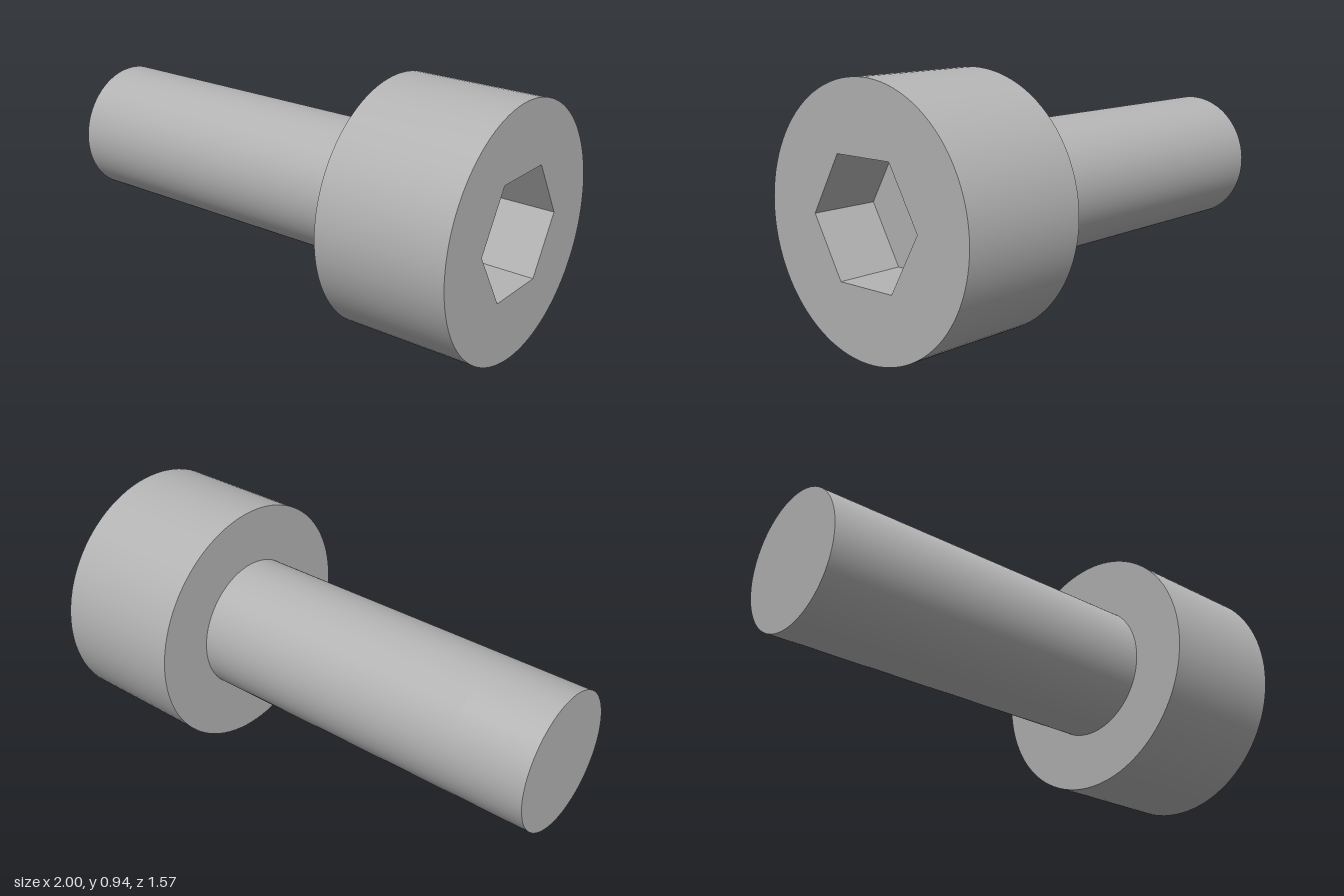
import * as THREE from 'three';

export function createModel() {
  const steel = new THREE.MeshStandardMaterial({ color: 0xb4b4b4 });
  steel.name = 'steel grey';

  const headR = 0.472, headLen = 0.515, shankR = 0.255, total = 1.889;
  const tipLen = 0.29, hexR = 0.248, hexDepth = 0.2575, segs = 96;

  // The screw lies along local z, with the head's face at z = 0.
  const screw = new THREE.Group();
  screw.name = 'socketHeadScrew';
  const add = (name, geometry, z = 0) => {
    const mesh = new THREE.Mesh(geometry, steel);
    mesh.name = name;
    mesh.position.z = z;
    screw.add(mesh);
  };
  const tube = (r, len) =>
    new THREE.CylinderGeometry(r, r, len, segs, 1, true).rotateX(Math.PI / 2);

  // Hexagonal outline with corners pointing sideways
  const hexPoints = Array.from({ length: 6 }, (_, i) => {
    const a = (i * Math.PI) / 3;
    return new THREE.Vector2(hexR * Math.cos(a), hexR * Math.sin(a));
  });

  // Head: side wall, front face with socket opening, underside
  const face = new THREE.Shape().absarc(0, 0, headR, 0, Math.PI * 2);
  face.holes.push(new THREE.Path(hexPoints.slice().reverse()));
  add('headSide', tube(headR, headLen), -headLen / 2);
  add('headFace', new THREE.ShapeGeometry(face, segs / 2));
  add('headUnderside', new THREE.RingGeometry(shankR, headR, segs).rotateY(Math.PI), -headLen);

  // Socket: six inward-facing walls and a flat floor
  const walls = [];
  hexPoints.forEach((p, i) => {
    const q = hexPoints[(i + 1) % 6];
    walls.push(p.x, p.y, 0, q.x, q.y, 0, q.x, q.y, -hexDepth);
    walls.push(p.x, p.y, 0, q.x, q.y, -hexDepth, p.x, p.y, -hexDepth);
  });
  const socket = new THREE.BufferGeometry();
  socket.setAttribute('position', new THREE.Float32BufferAttribute(walls, 3));
  socket.computeVertexNormals();
  add('socketWalls', socket);
  add('socketFloor', new THREE.ShapeGeometry(new THREE.Shape(hexPoints)), -hexDepth);

  // Shank, with a separate end section
  const shankLen = total - headLen - tipLen;
  add('shank', tube(shankR, shankLen), -headLen - shankLen / 2);
  add('shankTip', tube(shankR, tipLen), -total + tipLen / 2);
  add('shankEnd', new THREE.CircleGeometry(shankR, segs).rotateY(Math.PI), -total);

  // Turn the screw so the head points left and forward
  screw.rotation.y = Math.PI / 3;
  screw.position.set(0.764, headR, 0.378);

  const model = new THREE.Group();
  model.name = 'screwModel';
  model.add(screw);
  return model;
}
